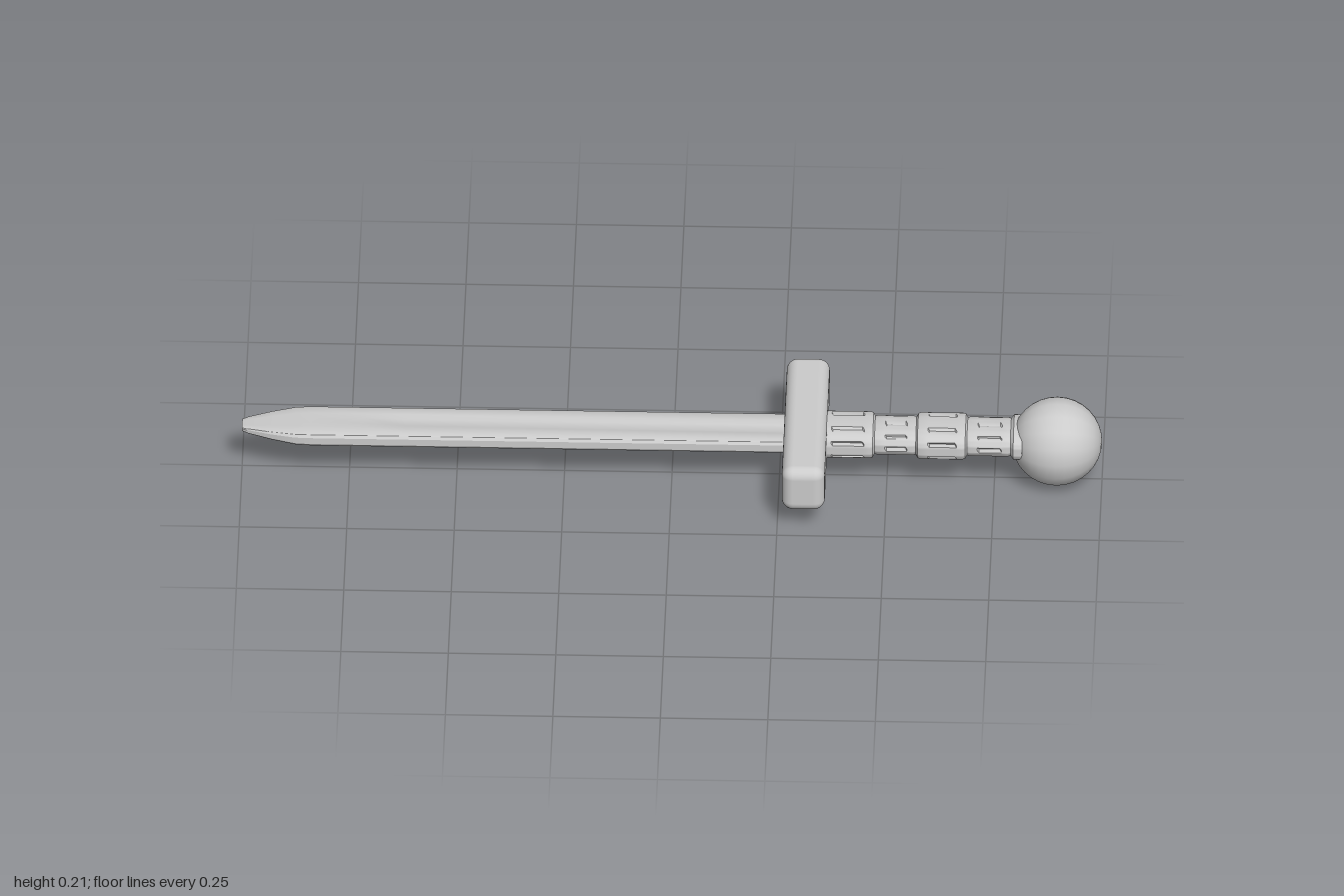
import * as THREE from 'three';
import { toCreasedNormals } from 'three/addons/utils/BufferGeometryUtils.js';
import { RoundedBoxGeometry } from 'three/addons/geometries/RoundedBoxGeometry.js';

const material = new THREE.MeshStandardMaterial({ color: 0xcccccc });
const AXIS_Y = 0.115;

// Skin closed loops of [z, y] points placed along x, with both ends capped.
function loft(sections, crease) {
  const n = sections[0].loop.length;
  const positions = [], index = [];
  sections.forEach(({ x, loop }) => loop.forEach(([z, y]) => positions.push(x, y, z)));
  for (let s = 0; s < sections.length - 1; s++) {
    for (let i = 0; i < n; i++) {
      const a = s * n + i, b = s * n + (i + 1) % n;
      index.push(a, a + n, b, b, a + n, b + n);
    }
  }
  for (const end of [0, sections.length - 1]) {
    const c = positions.length / 3;
    positions.push(sections[end].x, 0, 0);
    for (let i = 0; i < n; i++) {
      const a = end * n + i, b = end * n + (i + 1) % n;
      if (end === 0) index.push(c, a, b); else index.push(c, b, a);
    }
  }
  const geometry = new THREE.BufferGeometry();
  geometry.setAttribute('position', new THREE.Float32BufferAttribute(positions, 3));
  geometry.setIndex(index);
  return toCreasedNormals(geometry, crease);
}

// Blade section: bevelled edges and a shallow central fuller of depth g.
function bladeLoop(w, h, g) {
  const right = [[w, h * 0.45], [w * 0.93, h * 0.8], [w * 0.78, h], [w * 0.42, h], [w * 0.2, h - g]];
  const left = right.map(([z, y]) => [-z, y]).reverse();
  const top = [...right, ...left];
  return [...top, ...top.map(([z, y]) => [-z, -y])];
}

// Grip section: a rounded oval, optionally with narrow lengthwise grooves.
function gripLoop(w, h, groove, shift) {
  const n = 48, loop = [];
  for (let i = 0; i < n; i++) {
    const a = i / n * Math.PI * 2;
    const c = Math.cos(a), s = Math.sin(a);
    const k = groove && i % 6 === shift ? 0.88 : 1;
    loop.push([
      Math.sign(c) * Math.abs(c) ** 0.8 * w * k,
      Math.sign(s) * Math.abs(s) ** 0.8 * h * k,
    ]);
  }
  return loop;
}

function createGrip() {
  const sections = [];
  const add = (x, w, h, groove = false, shift = 0) =>
    sections.push({ x, loop: gripLoop(w, h, groove, shift) });
  // Alternating wide and narrow bands
  const bands = [[0.345, 0.47], [0.47, 0.57], [0.57, 0.685], [0.685, 0.79]];
  bands.forEach(([x0, x1], i) => {
    const wide = i % 2 === 0;
    const w = wide ? 0.069 : 0.058, h = wide ? 0.039 : 0.033, shift = wide ? 3 : 0;
    add(x0 + 0.002, w * 0.96, h * 0.96);
    add(x0 + 0.008, w, h);
    add(x0 + 0.026, w, h);
    add(x0 + 0.03, w, h, true, shift);
    add(x1 - 0.026, w, h, true, shift);
    add(x1 - 0.022, w, h);
    add(x1 - 0.008, w, h);
    add(x1 - 0.002, w * 0.96, h * 0.96);
  });
  // Flared lip meeting the pommel
  add(0.795, 0.067, 0.038);
  add(0.815, 0.067, 0.038);
  return loft(sections, 0.6);
}

export function createModel() {
  const sword = new THREE.Group();
  sword.name = 'sword';
  const add = (name, geometry, x, y) => {
    const mesh = new THREE.Mesh(geometry, material);
    mesh.name = name;
    mesh.position.set(x, y, 0);
    sword.add(mesh);
  };

  // Blade: x, half width, half thickness, fuller depth
  const blade = [
    [-1, 0.02, 0.005, 0], [-0.985, 0.027, 0.008, 0], [-0.93, 0.046, 0.013, 0],
    [-0.875, 0.06, 0.0175, 0], [-0.84, 0.062, 0.0185, 0], [-0.72, 0.062, 0.0185, 0.001],
    [-0.62, 0.062, 0.0185, 0.005], [0.28, 0.062, 0.0185, 0.005],
  ].map(([x, w, h, g]) => ({ x, loop: bladeLoop(w, h, g) }));
  add('blade', loft(blade, 0.5), 0, AXIS_Y);

  // Crossguard
  add('crossguard', new RoundedBoxGeometry(0.1, 0.117, 0.478, 4, 0.026), 0.311, 0.114);

  // Grip
  add('grip', createGrip(), 0, AXIS_Y);

  // Ball pommel with its poles along the sword
  const ball = new THREE.SphereGeometry(0.105, 16, 16);
  ball.rotateZ(-Math.PI / 2);
  add('pommel', ball, 0.895, 0.105);

  return sword;
}
